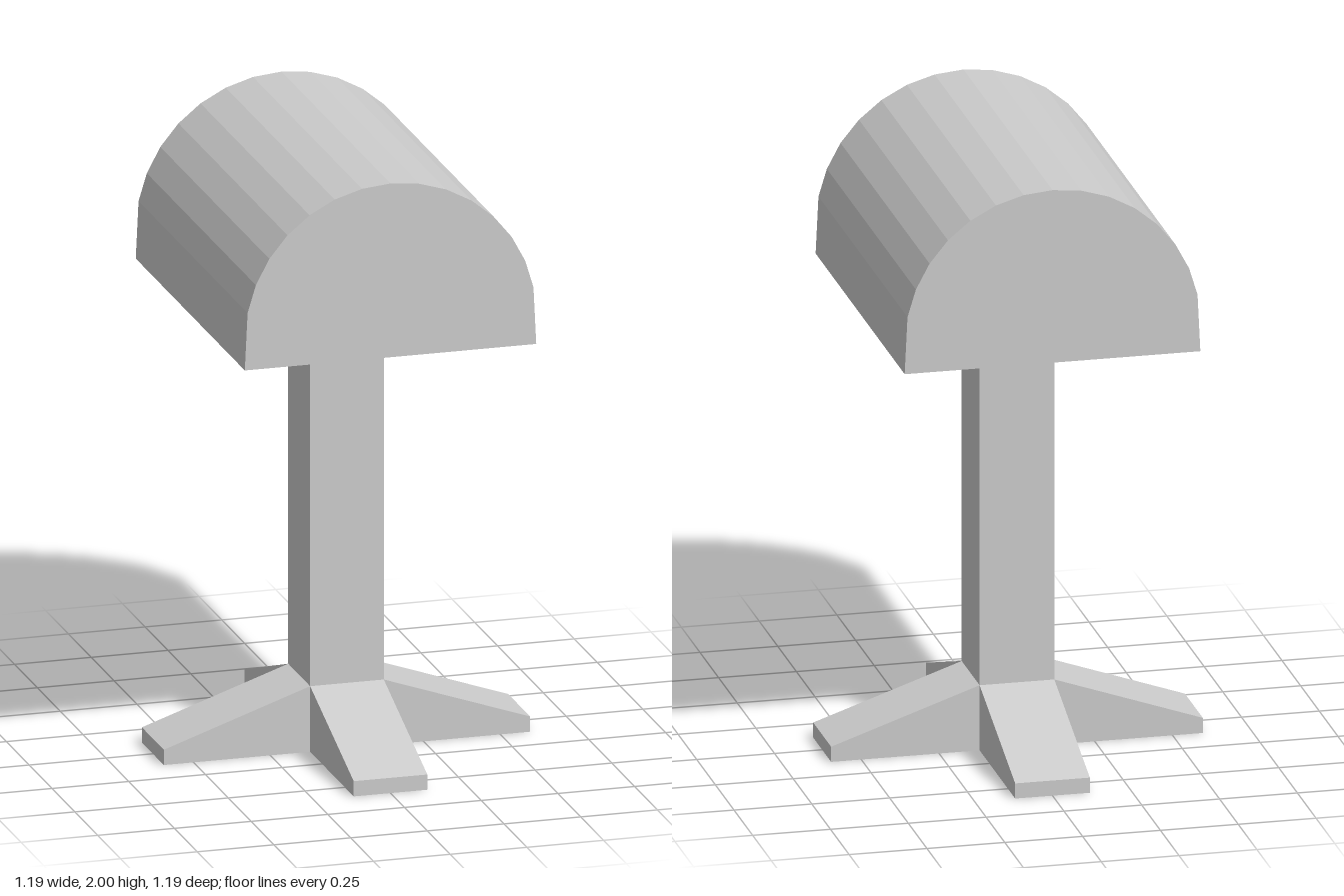
import * as THREE from 'three';

const HALF_POST = 0.12;
const HALF_SPAN = 0.597;
const HEAD_BOTTOM = 1.43;

// Extrude a front-facing outline to a depth centred on z = 0
function extrudeCentred(points, depth) {
  const shape = new THREE.Shape(points.map(([x, y]) => new THREE.Vector2(x, y)));
  const geometry = new THREE.ExtrudeGeometry(shape, { depth, bevelEnabled: false });
  return geometry.translate(0, 0, -depth / 2);
}

export function createModel() {
  const group = new THREE.Group();
  const material = new THREE.MeshStandardMaterial({ color: 0xcccccc, flatShading: true });
  const add = (name, geometry) => {
    const mesh = new THREE.Mesh(geometry, material);
    mesh.name = name;
    group.add(mesh);
    return mesh;
  };

  // Square post, standing on the ground between the feet
  const post = add('post', new THREE.BoxGeometry(2 * HALF_POST, HEAD_BOTTOM, 2 * HALF_POST));
  post.position.y = HEAD_BOTTOM / 2;

  // Four tapered feet, one on each face of the post
  const footGeometry = extrudeCentred(
    [[HALF_POST, 0], [HALF_SPAN, 0], [HALF_SPAN, 0.05], [HALF_POST, 0.215]],
    2 * HALF_POST
  );
  for (let i = 0; i < 4; i++) {
    add('foot' + (i + 1), footGeometry).rotation.y = (i * Math.PI) / 2;
  }

  // Arched box head: flat bottom, slightly flared sides and a faceted round top
  const radius = 0.475;
  const segments = 16;
  const outline = [[-radius, HEAD_BOTTOM], [radius, HEAD_BOTTOM]];
  for (let i = 1; i < segments; i++) {
    const angle = (i * Math.PI) / segments;
    outline.push([radius * Math.cos(angle), 2 - radius + radius * Math.sin(angle)]);
  }
  add('head', extrudeCentred(outline, 2 * HALF_SPAN));

  return group;
}
